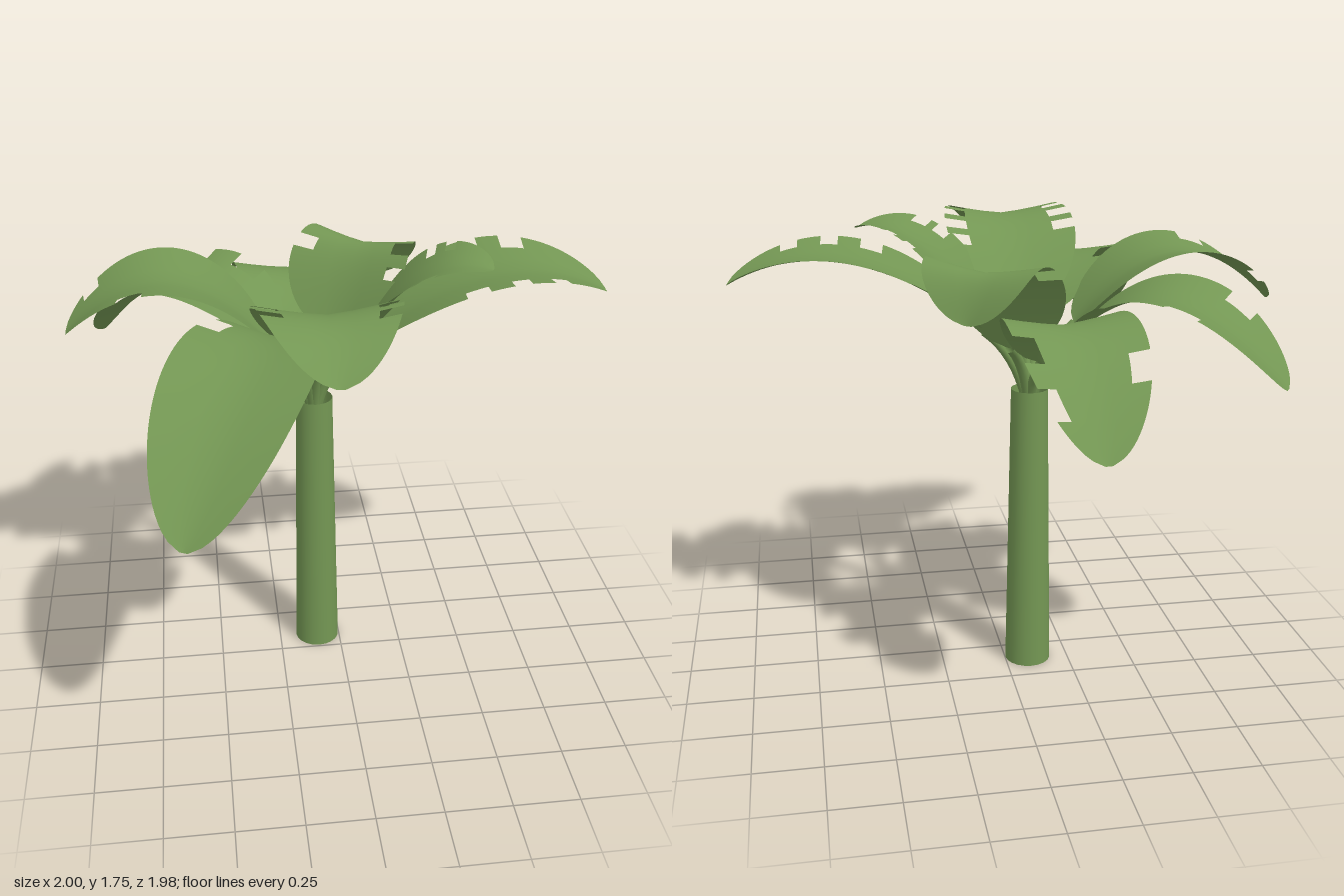
import * as THREE from 'three';

const HUB = new THREE.Vector3(-0.092, 1.135, -0.097);
const BASE_RADIUS = 0.17;
const ROWS = 50;
const COLS = 6;

// heading in degrees; baseY, crown and tip set the arch as [radius, height];
// tears in the two edges as [first position, count], each one tear wide
const LEAVES = [
  { name: 'leftLeaf', heading: 4, width: 0.275, baseY: 1.36, crown: [0.65, 1.625], tip: [1.092, 1.55], tear: 0.07, near: [0.45, 3], far: [0.2, 4] },
  { name: 'frontLeaf', heading: 90, width: 0.255, baseY: 1.39, crown: [0.52, 1.69], tip: [0.85, 1.58], tear: 0.05, near: [0.42, 3], far: [0.34, 4] },
  { name: 'frontRightLeaf', heading: 115.5, width: 0.255, baseY: 1.38, crown: [0.6, 1.555], tip: [1.19, 1.17], tear: 0.09, near: [0.24, 1], far: [0, 0] },
  { name: 'rightLeaf', heading: 180, width: 0.245, baseY: 1.38, crown: [0.53, 1.635], tip: [0.908, 1.45], tear: 0.08, near: [0.8, 1], far: [0.61, 1] },
  { name: 'backRightLeaf', heading: 213, width: 0.265, baseY: 1.35, crown: [0.55, 1.515], tip: [0.96, 1.24], tear: 0.12, near: [0.24, 2], far: [0.6, 1] },
  { name: 'backLeaf', heading: 265, width: 0.225, baseY: 1.28, crown: [0.5, 1.475], tip: [0.895, 1.14], tear: 0.11, near: [0.5, 2], far: [0.6, 1] },
  { name: 'backLeftLeaf', heading: 306, width: 0.245, baseY: 1.33, crown: [0.35, 1.635], tip: [0.49, 1.48], tear: 0.08, near: [0.4, 2], far: [0.5, 1] },
  { name: 'frontLeftLeaf', heading: 22, width: 0.235, baseY: 1.36, crown: [0.41, 1.665], tip: [0.66, 1.715], tear: 0.06, near: [0.55, 2], far: [0.58, 2] },
];

// blade half-width along its length: blunt at the stalk, a little narrower at the tip
const outline = (t) => Math.pow(Math.max(Math.sin(Math.PI * Math.pow(t, 0.9)), 0.004), 0.52);

const isTorn = ([first, count], size, t) => {
  const step = (t - first) / (2 * size);
  return step >= 0 && step < count && step % 1 < 0.5;
};

// arched blade, folded up a little along its midrib, with tears left out of the edge strips
function bladeGeometry(leaf, spine, side) {
  const positions = [], index = [];
  for (let r = 0; r <= ROWS; r++) {
    const t = r / ROWS;
    const centre = spine.getPointAt(t);
    const up = side.clone().cross(spine.getTangentAt(t)).normalize();
    const w = leaf.width * outline(t);
    for (let c = 0; c <= COLS; c++) {
      const u = 2 * c / COLS - 1;
      const p = centre.clone().addScaledVector(side, u * w)
        .addScaledVector(up, 0.16 * w * Math.pow(Math.abs(u), 1.3));
      positions.push(p.x, p.y, p.z);
    }
  }
  for (let r = 0; r < ROWS; r++) {
    const t = (r + 0.5) / ROWS;
    for (let c = 0; c < COLS; c++) {
      if (c === 0 && isTorn(leaf.far, leaf.tear, t)) continue;
      if (c === COLS - 1 && isTorn(leaf.near, leaf.tear, t)) continue;
      const a = r * (COLS + 1) + c, d = a + COLS + 1;
      index.push(a, a + 1, d + 1, a, d + 1, d);
    }
  }
  const geometry = new THREE.BufferGeometry();
  geometry.setAttribute('position', new THREE.Float32BufferAttribute(positions, 3));
  geometry.setIndex(index);
  geometry.computeVertexNormals();
  return geometry;
}

export function createModel() {
  const model = new THREE.Group();
  model.name = 'broadLeafTree';
  const green = new THREE.MeshStandardMaterial({ color: 0x739653, side: THREE.DoubleSide });
  green.name = 'leafGreen';

  const add = (parent, name, geometry) => {
    const mesh = new THREE.Mesh(geometry, green);
    mesh.name = name;
    parent.add(mesh);
    return mesh;
  };

  // tapered hollow trunk
  add(model, 'trunk', new THREE.CylinderGeometry(0.07, 0.09, HUB.y, 20, 1, true))
    .position.set(HUB.x, HUB.y / 2, HUB.z);

  // leaves, each a stalk and a blade
  for (const leaf of LEAVES) {
    const group = new THREE.Group();
    group.name = leaf.name;
    const angle = THREE.MathUtils.degToRad(leaf.heading);
    const dir = new THREE.Vector3(Math.cos(angle), 0, Math.sin(angle));
    const side = new THREE.Vector3(-dir.z, 0, dir.x);
    const at = (r, y) => new THREE.Vector3(HUB.x + dir.x * r, y, HUB.z + dir.z * r);

    // the arch passes through the crown halfway along
    const base = at(BASE_RADIUS, leaf.baseY);
    const tip = at(...leaf.tip);
    const control = at(...leaf.crown).multiplyScalar(2)
      .addScaledVector(base, -0.5).addScaledVector(tip, -0.5);
    const spine = new THREE.QuadraticBezierCurve3(base, control, tip);

    // stalk rises from the trunk, then bends outwards
    const elbow = at(BASE_RADIUS * 0.35, HUB.y + (leaf.baseY - HUB.y) * 0.65);
    const stalk = new THREE.QuadraticBezierCurve3(at(0.015, HUB.y - 0.03), elbow, base);
    add(group, 'stalk', new THREE.TubeGeometry(stalk, 8, 0.019, 8));
    add(group, 'blade', bladeGeometry(leaf, spine, side));
    model.add(group);
  }
  return model;
}
